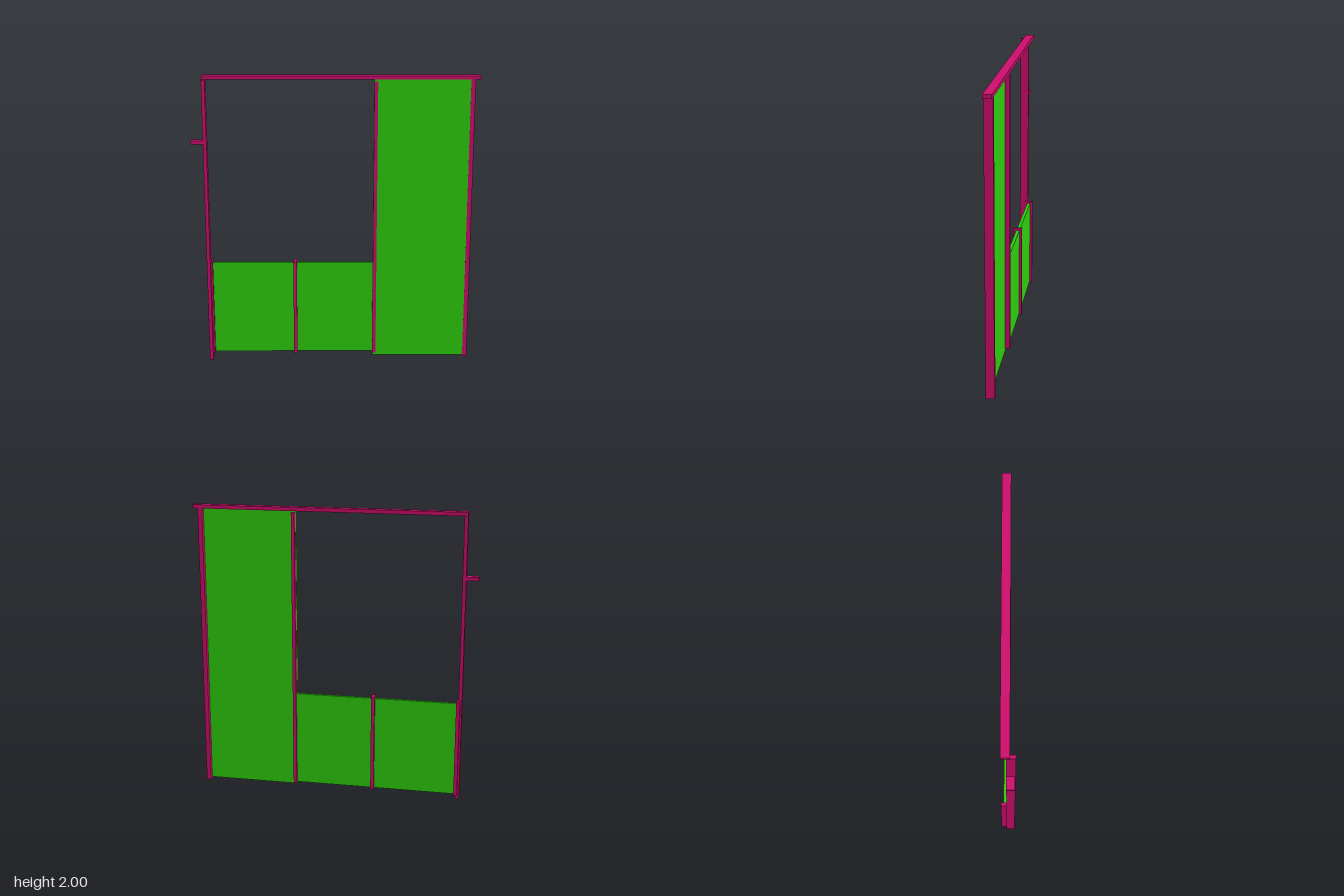
import * as THREE from 'three';

const pink = new THREE.MeshStandardMaterial({ color: 0xcc0d6b });
const green = new THREE.MeshStandardMaterial({ color: 0x2ecc0d });

// Box given by its extents along each axis
function block(name, material, [x0, x1], [y0, y1], [z0, z1]) {
  const mesh = new THREE.Mesh(new THREE.BoxGeometry(x1 - x0, y1 - y0, z1 - z0), material);
  mesh.position.set((x0 + x1) / 2, (y0 + y1) / 2, (z0 + z1) / 2);
  mesh.name = name;
  return mesh;
}

export function createModel() {
  const group = new THREE.Group();
  group.name = 'framedWall';
  const back = [-0.046, 0.012];
  const front = [-0.011, 0.048];

  // Main frame
  group.add(
    block('topRail', pink, [-0.888, 0.965], [1.975, 2], back),
    block('rightEndPost', pink, [-0.886, -0.862], [0, 1.975], front),
    block('leftEndPost', pink, [0.9, 0.93], [0.01, 1.975], back),
    block('middlePost', pink, [0.261, 0.284], [0.036, 1.962], [-0.046, 0.014]),
    block('sideStub', pink, [-0.968, -0.886], [1.546, 1.57], [-0.011, 0.044])
  );

  // Short posts carrying the low panel
  for (const x of [-0.862, -0.28]) {
    group.add(block('shortPost', pink, [x - 0.012, x + 0.012], [0.036, 0.715], [-0.048, 0.011]));
  }

  // Infill panels
  group.add(
    block('tallPanel', green, [0.259, 0.902], [0.02, 1.976], [-0.013, 0.011]),
    block('lowPanel', green, [-0.862, 0.262], [0.042, 0.7], [-0.03, -0.008])
  );
  return group;
}
